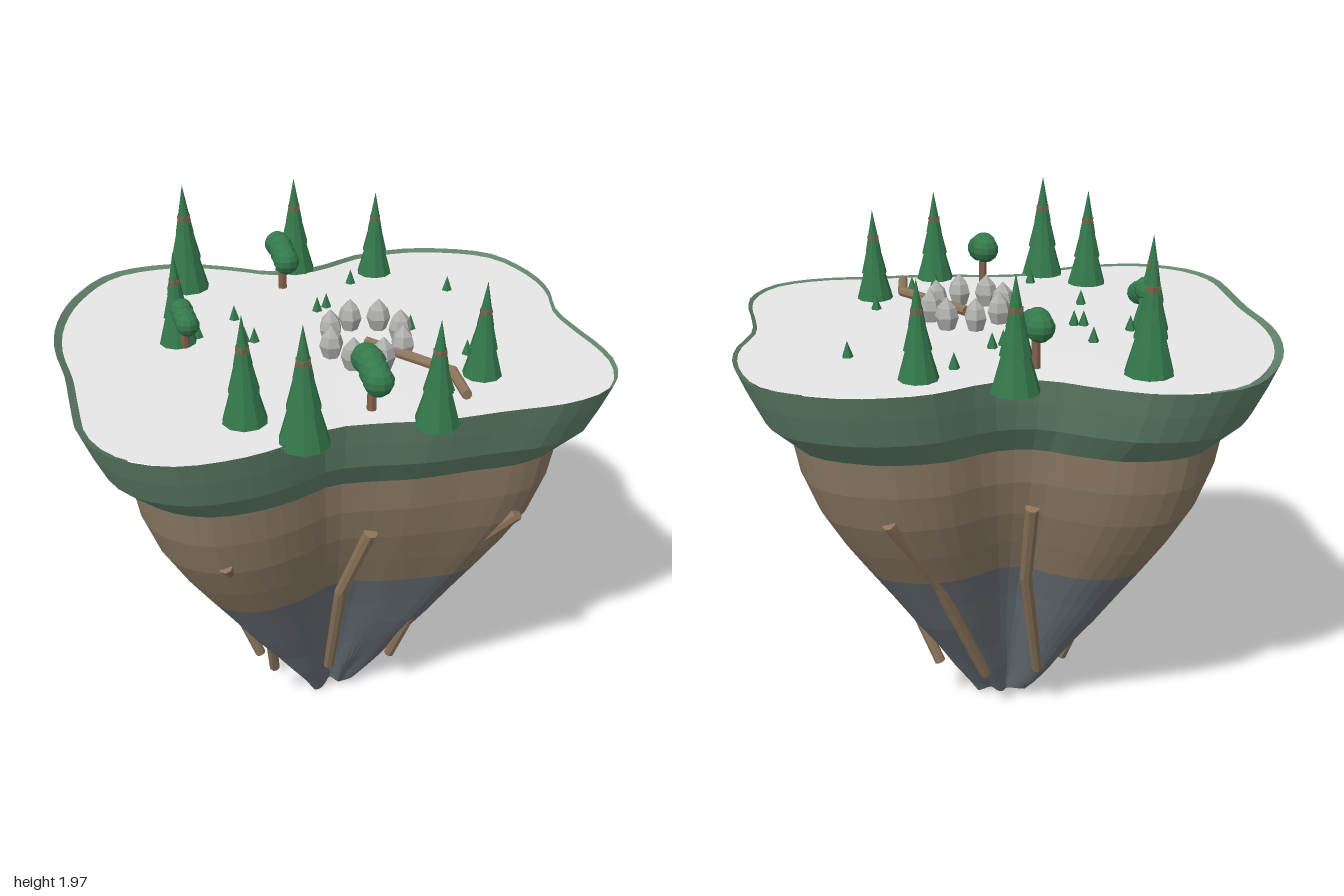
import * as THREE from 'three';

const mat = (name, color) => Object.assign(new THREE.MeshStandardMaterial({ color }), { name });

export function createModel() {
  const M = {
    turf: mat('turf green', 0x62826a), soil: mat('soil brown', 0x8b7963),
    rock: mat('slate rock', 0x697076), ground: mat('pale ground', 0xe7e7e7),
    leaf: mat('leaf green', 0x34794c), wood: mat('wood brown', 0x8c755c),
    bark: mat('trunk brown', 0x84604c), stone: mat('stone grey', 0xb0b0ae),
  };
  M.ground.side = M.turf.side = THREE.DoubleSide;
  const model = new THREE.Group();
  model.name = 'floatingIsland';

  const add = (parent, name, geo, material, x = 0, y = 0, z = 0) => {
    const flat = geo.index ? geo.toNonIndexed() : geo;
    flat.computeVertexNormals();
    const mesh = new THREE.Mesh(flat, material);
    mesh.name = name;
    mesh.position.set(x, y, z);
    parent.add(mesh);
    return mesh;
  };
  const group = (name, x = 0, y = 0, z = 0) => {
    const g = new THREE.Group();
    g.name = name;
    g.position.set(x, y, z);
    model.add(g);
    return g;
  };

  // Island outline (x, z), swept through scaled levels
  const outline = [
    [0.41, -0.87], [0.68, -0.81], [0.81, -0.64], [0.87, -0.45], [0.87, -0.24], [0.92, -0.08],
    [0.98, 0.08], [1.0, 0.22], [0.955, 0.375], [0.81, 0.48], [0.57, 0.54], [0.35, 0.595],
    [0.17, 0.61], [0.0, 0.64], [-0.13, 0.735], [-0.29, 0.82], [-0.5, 0.863], [-0.69, 0.8],
    [-0.8, 0.67], [-0.855, 0.48], [-0.905, 0.27], [-0.975, 0.05], [-1.0, -0.16], [-0.97, -0.4],
    [-0.855, -0.63], [-0.61, -0.72], [-0.4, -0.69], [-0.21, -0.635], [-0.05, -0.67],
    [0.14, -0.805], [0.27, -0.85],
  ].map(([x, z]) => new THREE.Vector3(x, 0, z));
  const N = 84;
  const ring = new THREE.CatmullRomCurve3(outline, true).getSpacedPoints(N).slice(0, N);

  // levels: [scale, y], listed from the top down; the four valleys deepen towards the tip
  const shell = (name, levels, material) => {
    const pos = [], index = [];
    levels.forEach(([s, y], i) => ring.forEach((p, j) => {
      const a = Math.atan2(p.z, p.x);
      const valley = Math.min(0.14, 0.2 * Math.max(0, 1.2 - y));
      const pleat = 0.4 * Math.max(0, 0.35 - y) * Math.sin(7 * a);
      const k = s * (1 + pleat - valley * (0.5 + 0.5 * Math.cos(4 * (a + 0.23))));
      const jag = y < 0.06 ? 0.014 * Math.sin(5 * a + 1) : 0;
      pos.push(p.x * k, y + jag, p.z * k);
      if (i === levels.length - 1) return;
      const q = (j + 1) % N, t = i * N, b = t + N;
      index.push(t + j, t + q, b + j, t + q, b + q, b + j);
    }));
    const geo = new THREE.BufferGeometry();
    geo.setAttribute('position', new THREE.Float32BufferAttribute(pos, 3));
    geo.setIndex(index);
    return add(model, name, geo, material);
  };
  shell('groundTop', [[0.001, 1.575], [0.5, 1.574], [0.978, 1.572]], M.ground).position.set(0.008, 0, 0.008);
  shell('turfRim', [[0.965, 1.555], [1, 1.58], [0.965, 1.49], [0.92, 1.39], [0.82, 1.29]], M.turf);
  shell('soilLayer', [[0.82, 1.29], [0.8, 1.16], [0.755, 1.02], [0.68, 0.88], [0.595, 0.745]], M.soil);
  shell('rockLayer', [[0.595, 0.745], [0.5, 0.6], [0.41, 0.46], [0.31, 0.32], [0.215, 0.18],
    [0.15, 0.09], [0.105, 0.025], [0.001, 0.04]], M.rock);

  // Rods along a bent path: hanging roots and a fallen log
  const rod = (name, points, r0, r1) => {
    const g = group(name);
    const pts = points.map((p) => new THREE.Vector3(...p));
    const n = pts.length - 1;
    for (let i = 0; i < n; i++) {
      const d = pts[i + 1].clone().sub(pts[i]);
      const ra = r0 + (r1 - r0) * i / n, rb = r0 + (r1 - r0) * (i + 1) / n;
      const m = add(g, name + 'Segment', new THREE.CylinderGeometry(rb, ra, d.length() + 0.008, 8), M.wood);
      m.position.copy(pts[i]).addScaledVector(d, 0.5);
      m.quaternion.setFromUnitVectors(new THREE.Vector3(0, 1, 0), d.normalize());
    }
  };
  [
    [[0.14, 1.05, 0.46], [0.04, 0.72, 0.36], [0, 0.21, 0.17]],
    [[0.67, 1.05, 0.35], [0.41, 0.77, 0.27], [0.25, 0.21, 0.1]],
    [[0.69, 1.05, -0.23], [0.45, 0.72, -0.13], [0.23, 0.21, -0.17]],
    [[0.31, 1.05, -0.66], [0.18, 0.72, -0.47], [0.04, 0.21, -0.24]],
    [[-0.16, 1.05, -0.48], [-0.13, 0.72, -0.37], [-0.16, 0.21, -0.18]],
    [[-0.63, 1.05, -0.32], [-0.42, 0.72, -0.22], [-0.25, 0.21, -0.07]],
    [[-0.69, 1.05, 0.17], [-0.47, 0.72, 0.1], [-0.28, 0.21, 0.09]],
    [[-0.36, 1.05, 0.65], [-0.24, 0.72, 0.39], [-0.22, 0.21, 0.18]],
  ].forEach((p) => rod('root', p, 0.026, 0.021));
  rod('fallenLog', [[0.14, 1.595, 0.05], [0.42, 1.595, 0.28], [0.45, 1.595, 0.45]], 0.02, 0.018);

  // Conifers: x, z, radius, tip height
  [
    [-0.54, -0.505, 0.088, 1.985], [-0.12, -0.69, 0.082, 1.945], [0.2, -0.64, 0.072, 1.905],
    [-0.54, -0.015, 0.072, 1.915], [0.525, 0.26, 0.073, 1.915], [0.34, 0.575, 0.077, 1.925],
    [-0.09, 0.695, 0.087, 1.97], [-0.28, 0.57, 0.08, 1.945],
  ].forEach(([x, z, r, top]) => {
    const g = group('conifer', x, 1.56, z), h = top - 1.56;
    [[1, 0, 0.75], [0.66, 0.32, 0.88], [0.4, 0.56, 1]].forEach(([k, a, b]) =>
      add(g, 'coniferTier', new THREE.ConeGeometry(r * k, h * (b - a), 10), M.leaf, 0, h * (a + b) / 2, 0));
    add(g, 'coniferTrunk', new THREE.CylinderGeometry(r * 0.31, r * 0.32, h * 0.72, 6), M.bark, 0, h * 0.36, 0);
  });

  // Round trees: rows of leaf balls on a short trunk
  [
    [-0.185, -0.55, -0.15, -0.435, 0.05, 1.73],
    [0.115, 0.445, 0.15, 0.56, 0.052, 1.73],
    [-0.53, -0.01, -0.495, 0.07, 0.043, 1.705],
  ].forEach(([x0, z0, x1, z1, r, y]) => {
    const g = group('roundTree');
    for (let i = 0; i < 4; i++) {
      const t = i / 3;
      add(g, 'leafBall', new THREE.SphereGeometry(r, 10, 7), M.leaf,
        x0 + (x1 - x0) * t, y + 0.01 * Math.sin(t * 5) - 0.015 * t, z0 + (z1 - z0) * t);
    }
    add(g, 'roundTreeTrunk', new THREE.CylinderGeometry(0.013, 0.017, y - 1.57, 7), M.bark,
      (x0 + x1) / 2, (y + 1.57) / 2, (z0 + z1) / 2);
  });

  // Ring of standing stones
  const stoneProfile = [[0.028, 0], [0.044, 0.05], [0.034, 0.085], [0.001, 0.122]]
    .map(([x, y]) => new THREE.Vector2(x, y));
  for (let i = 0; i < 8; i++) {
    const a = (i + 0.5) * Math.PI / 4;
    add(model, 'standingStone', new THREE.LatheGeometry(stoneProfile, 6), M.stone,
      0.135 + 0.136 * Math.cos(a), 1.57, 0.05 + 0.172 * Math.sin(a)).rotation.y = i * 1.3;
  }

  // Small tufts
  [
    [0.1, -0.53], [0.475, -0.455], [0, -0.305], [-0.035, -0.27], [-0.345, -0.2], [0.305, -0.105],
    [-0.3, -0.01], [-0.265, -0.01], [-0.47, -0.05], [0.49, 0.105], [-0.275, 0.26], [0.4, 0.375],
    [0.32, 0.45], [-0.055, 0.545],
  ].forEach(([x, z]) => add(model, 'tuft', new THREE.ConeGeometry(0.022, 0.06, 5), M.leaf, x, 1.6, z));

  return model;
}
